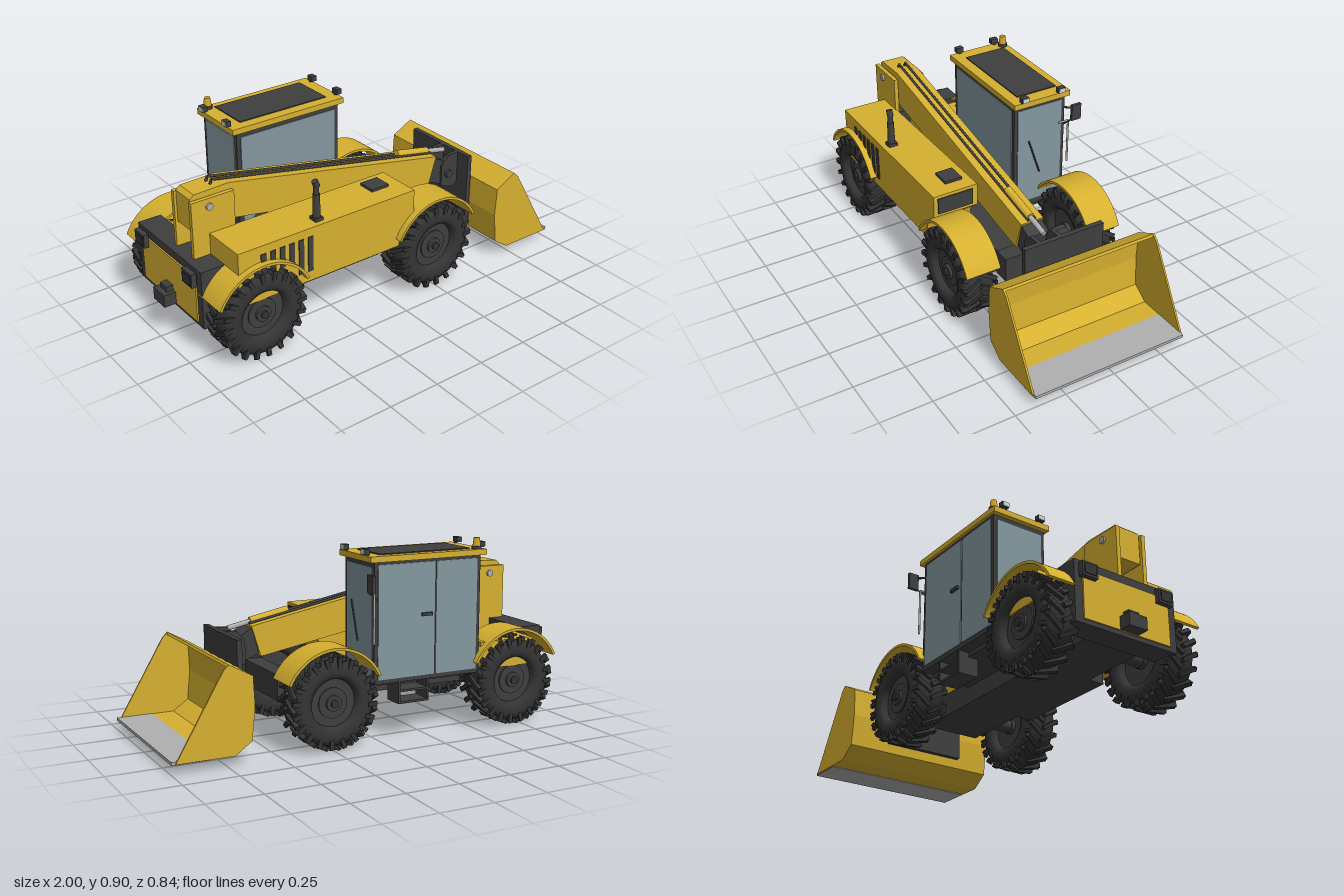
import * as THREE from 'three';
import { mergeGeometries } from 'three/addons/utils/BufferGeometryUtils.js';

const mat = (name, color, side = THREE.FrontSide) => {
  const m = new THREE.MeshStandardMaterial({ color, side });
  m.name = name;
  return m;
};

export function createModel() {
  const yellow = mat('yellow paint', 0xd6b030, THREE.DoubleSide);
  const dark = mat('dark metal', 0x3f3f3f);
  const rubber = mat('rubber', 0x343434);
  const glass = mat('glass', 0x83979e);
  const silver = mat('silver', 0xb0b0b0);
  const lampGlass = mat('lamp glass', 0xd6d8d8);
  const amber = mat('amber', 0xd6a520);
  const model = new THREE.Group();
  model.name = 'telehandler';

  const add = (name, geo, m, parent = model) => {
    const mesh = new THREE.Mesh(geo, m);
    mesh.name = name;
    parent.add(mesh);
    return mesh;
  };
  // Box given by its extents
  const box = (name, m, x0, x1, y0, y1, z0, z1, parent) => {
    const g = new THREE.BoxGeometry(x1 - x0, y1 - y0, z1 - z0);
    g.translate((x0 + x1) / 2, (y0 + y1) / 2, (z0 + z1) / 2);
    return add(name, g, m, parent);
  };
  // Side profile extruded across the machine
  const plate = (name, m, pts, z0, z1) => {
    const s = new THREE.Shape(pts.map(p => new THREE.Vector2(...p)));
    const g = new THREE.ExtrudeGeometry(s, { depth: z1 - z0, bevelEnabled: false });
    return add(name, g.translate(0, 0, z0), m);
  };
  // Round bar between two points
  const rod = (name, m, a, b, r, r2 = r) => {
    const A = new THREE.Vector3(...a), B = new THREE.Vector3(...b), d = B.clone().sub(A);
    const mesh = add(name, new THREE.CylinderGeometry(r2, r, d.length(), 16), m);
    mesh.position.copy(A).add(B).multiplyScalar(0.5);
    mesh.quaternion.setFromUnitVectors(new THREE.Vector3(0, 1, 0), d.normalize());
    return mesh;
  };

  // Wheels: rounded tyre, slanted lugs, recessed rim and hub
  const V = (x, y) => new THREE.Vector2(x, y);
  const tyreGeo = new THREE.LatheGeometry([V(0.108, -0.04), V(0.114, -0.072), V(0.135, -0.08), V(0.165, -0.08),
    V(0.187, -0.072), V(0.197, -0.05), V(0.199, 0), V(0.197, 0.05), V(0.187, 0.072), V(0.165, 0.08),
    V(0.135, 0.08), V(0.114, 0.072), V(0.108, 0.04)], 48).rotateX(Math.PI / 2);
  const lugs = [];
  for (let i = 0; i < 20; i++) for (const s of [-1, 1]) {
    const a = (i + (s > 0 ? 0.5 : 0)) / 20 * Math.PI * 2;
    const tread = new THREE.BoxGeometry(0.02, 0.022, 0.09);
    tread.rotateY(s * 0.55).translate(0, 0.201, s * 0.038).rotateZ(a);
    const shoulder = new THREE.BoxGeometry(0.02, 0.045, 0.014);
    shoulder.translate(s * 0.02, 0.185, s * 0.076).rotateZ(a);
    lugs.push(tread, shoulder);
  }
  const lugGeo = mergeGeometries(lugs);
  const disc = (r, h) => new THREE.CylinderGeometry(r, r, h, 32).rotateX(Math.PI / 2);
  for (const x of [-0.71, 0.245]) for (const [z, side] of [[0.337, 1], [-0.302, -1]]) {
    const wheel = new THREE.Group();
    wheel.name = (x > 0 ? 'front' : 'rear') + 'Wheel';
    wheel.position.set(x, 0.213, z);
    model.add(wheel);
    add('tyre', tyreGeo, rubber, wheel);
    add('treadLugs', lugGeo, rubber, wheel);
    add('rim', disc(0.11, 0.09), dark, wheel);
    add('hubPlate', disc(0.07, 0.008), dark, wheel).position.z = side * 0.048;
    add('hub', disc(0.036, 0.13), dark, wheel);
    add('hubCap', disc(0.018, 0.15), rubber, wheel);

    // Arched mudguard
    const arc = new THREE.Shape();
    arc.absarc(0, 0, 0.25, 0.44, Math.PI - 0.44, false);
    arc.absarc(0, 0, 0.238, Math.PI - 0.44, 0.44, true);
    const g = new THREE.ExtrudeGeometry(arc, { depth: 0.17, bevelEnabled: false, curveSegments: 24 });
    add('mudguard', g, yellow).position.set(x, 0.215, z - 0.085);
  }
  for (const x of [-0.71, 0.245]) {
    rod('axle', dark, [x, 0.213, -0.26], [x, 0.213, 0.29], 0.032);
    box('axleHousing', dark, x - 0.045, x + 0.045, 0.17, 0.26, -0.06, 0.1);
  }

  // Chassis
  box('chassis', dark, -0.85, 0.38, 0.17, 0.28, -0.11, 0.17);
  box('sideSill', dark, -0.5, 0.03, 0.17, 0.275, 0.16, 0.25);
  box('frontCrossMember', dark, 0.35, 0.43, 0.2, 0.32, -0.17, 0.2);

  // Engine housing with side vents, nose grille and filler lid
  plate('engineHousing', yellow, [[-0.82, 0.28], [0.035, 0.28], [0.06, 0.38], [0.12, 0.43],
    [0.12, 0.54], [-0.82, 0.54]], 0.165, 0.39);
  for (let i = 0; i < 6; i++) {
    const x = -0.71 + i * 0.048;
    box('sideVent', dark, x, x + 0.026, i < 4 ? 0.4 : 0.33, 0.5, 0.387, 0.394);
  }
  box('noseGrille', dark, 0.118, 0.125, 0.445, 0.525, 0.19, 0.37);
  box('fillerLid', dark, -0.045, 0.05, 0.54, 0.552, 0.205, 0.292);
  box('exhaustBase', dark, -0.41, -0.37, 0.54, 0.556, 0.32, 0.365);
  rod('exhaustMuffler', dark, [-0.39, 0.55, 0.343], [-0.39, 0.665, 0.343], 0.018, 0.016);
  rod('exhaustPipe', dark, [-0.39, 0.66, 0.343], [-0.39, 0.71, 0.343], 0.013);
  rod('exhaustTip', dark, [-0.387, 0.7, 0.343], [-0.398, 0.728, 0.343], 0.015);

  // Rear body, counterweight, tail lamps and hitch
  box('rearSideTank', yellow, -0.82, -0.53, 0.28, 0.41, -0.355, -0.1);
  box('counterweight', dark, -0.935, -0.82, 0.16, 0.44, -0.26, 0.28);
  box('rearPanel', yellow, -0.942, -0.934, 0.18, 0.4, -0.22, 0.24);
  for (const z of [-0.2, 0.21]) {
    box('tailLamp', dark, -0.965, -0.94, 0.36, 0.425, z - 0.04, z + 0.04);
    box('tailLampLens', rubber, -0.969, -0.964, 0.37, 0.415, z - 0.03, z + 0.03);
  }
  box('hitch', dark, -1, -0.93, 0.18, 0.24, -0.035, 0.06);
  box('hitchTongue', dark, -0.975, -0.93, 0.24, 0.265, -0.015, 0.04);

  // Boom and its pivot towers
  plate('boom', yellow, [[-0.89, 0.56], [-0.69, 0.56], [0.42, 0.365], [0.465, 0.51],
    [-0.7, 0.733], [-0.87, 0.728], [-0.89, 0.71]], 0.03, 0.145);
  for (const z of [0.007, 0.15]) box('pivotTower', yellow, -0.9, -0.69, 0.28, 0.705, z, z + 0.02);
  rod('pivotPin', silver, [-0.815, 0.668, -0.003], [-0.815, 0.668, 0.18], 0.016);
  for (const z of [0.071, 0.105]) {
    rod('boomHose', dark, [-0.76, 0.75, z], [0.46, 0.517, z], 0.006);
    rod('hoseEnd', dark, [-0.76, 0.75, z], [-0.77, 0.72, z], 0.006);
  }
  rod('liftCylinder', dark, [-0.62, 0.28, 0.0], [-0.4, 0.48, 0.0], 0.02);
  rod('liftRod', silver, [-0.4, 0.48, 0.0], [-0.3, 0.56, 0.02], 0.011);
  rod('tiltCylinder', yellow, [0.26, 0.56, 0.088], [0.45, 0.522, 0.088], 0.02);
  rod('tiltRod', silver, [0.45, 0.522, 0.088], [0.56, 0.5, 0.088], 0.012);

  // Boom head and carriage
  plate('boomHead', dark, [[0.43, 0.38], [0.5, 0.35], [0.52, 0.47], [0.46, 0.5]], 0.035, 0.14);
  for (const z of [0.025, 0.13]) plate('headLink', dark,
    [[0.5, 0.34], [0.57, 0.32], [0.615, 0.34], [0.615, 0.5], [0.54, 0.495], [0.5, 0.45]], z, z + 0.02);
  rod('headPin', dark, [0.54, 0.4, 0.01], [0.54, 0.4, 0.165], 0.02);
  box('carriagePlate', dark, 0.6, 0.624, 0.14, 0.5, -0.182, 0.224);

  // Bucket: bent shell, side cheeks and a grey cutting edge
  const shell = [[0.84, 0.045], [0.72, 0.045], [0.64, 0.1], [0.625, 0.25], [0.632, 0.385], [0.74, 0.443]];
  const inner = [[0.745, 0.43], [0.642, 0.376], [0.636, 0.25], [0.65, 0.107], [0.724, 0.055], [0.84, 0.055]];
  plate('bucketShell', yellow, [...shell, ...inner], -0.37, 0.4);
  for (const z of [-0.376, 0.396]) plate('bucketCheek', yellow, [[0.985, 0.045], [0.72, 0.045], [0.64, 0.1],
    [0.625, 0.25], [0.632, 0.385], [0.74, 0.443], [0.765, 0.42]], z, z + 0.009);
  box('cuttingEdge', silver, 0.83, 1, 0.042, 0.056, -0.37, 0.4);

  // Cab: dark frame with glass panes on all sides
  box('cabFrame', dark, -0.515, 0.04, 0.27, 0.83, -0.355, -0.08);
  box('frontWindow', glass, 0.038, 0.044, 0.3, 0.8, -0.337, -0.098);
  box('rearWindow', glass, -0.519, -0.513, 0.42, 0.8, -0.337, -0.098);
  box('innerWindow', glass, -0.495, 0.02, 0.3, 0.8, -0.082, -0.076);
  box('doorWindow', glass, -0.27, 0.022, 0.29, 0.81, -0.359, -0.353);
  box('sideRearWindow', glass, -0.497, -0.278, 0.29, 0.81, -0.359, -0.353);
  box('doorHandle', dark, -0.255, -0.2, 0.565, 0.58, -0.37, -0.356);
  box('roof', yellow, -0.54, 0.065, 0.823, 0.85, -0.368, -0.067);
  box('roofPanel', dark, -0.47, 0, 0.848, 0.855, -0.33, -0.118);
  rod('wiper', dark, [0.05, 0.63, -0.155], [0.05, 0.45, -0.215], 0.004);

  // Roof work lamps front and rear
  for (const [x, s] of [[0.064, 1], [-0.54, -1]]) for (const z of [-0.118, -0.315]) {
    box('workLamp', dark, x - 0.013, x + 0.013, 0.855, 0.88, z - 0.018, z + 0.018);
    const f = x + s * 0.014;
    box('lampLens', lampGlass, f - 0.002, f + 0.002, 0.857, 0.878, z - 0.016, z + 0.016);
    box('lampFoot', dark, x - s * 0.008 - 0.006, x - s * 0.008 + 0.006, 0.845, 0.857, z - 0.006, z + 0.006);
  }
  rod('beaconBase', dark, [-0.5, 0.85, -0.343], [-0.5, 0.864, -0.343], 0.023);
  rod('beacon', amber, [-0.5, 0.863, -0.343], [-0.5, 0.902, -0.343], 0.019, 0.014);

  // Mirror, grab rail and steps on the door side
  box('mirror', dark, 0.07, 0.085, 0.695, 0.775, -0.42, -0.37);
  rod('mirrorArm', dark, [0.03, 0.75, -0.35], [0.077, 0.76, -0.375], 0.005);
  rod('mirrorBrace', dark, [0.03, 0.655, -0.355], [0.077, 0.7, -0.375], 0.004);
  rod('grabRail', silver, [0.05, 0.46, -0.372], [0.05, 0.683, -0.372], 0.005);
  rod('grabRailTop', silver, [0.05, 0.683, -0.372], [0.05, 0.683, -0.32], 0.005);
  for (const x of [-0.25, -0.1]) box('stepSide', dark, x, x + 0.01, 0.165, 0.28, -0.35, -0.25);
  for (const y of [0.165, 0.22]) box('stepTread', dark, -0.25, -0.09, y, y + 0.01, -0.35, -0.25);
  box('cabMount', dark, -0.48, 0.03, 0.25, 0.28, -0.3, -0.1);

  return model;
}
